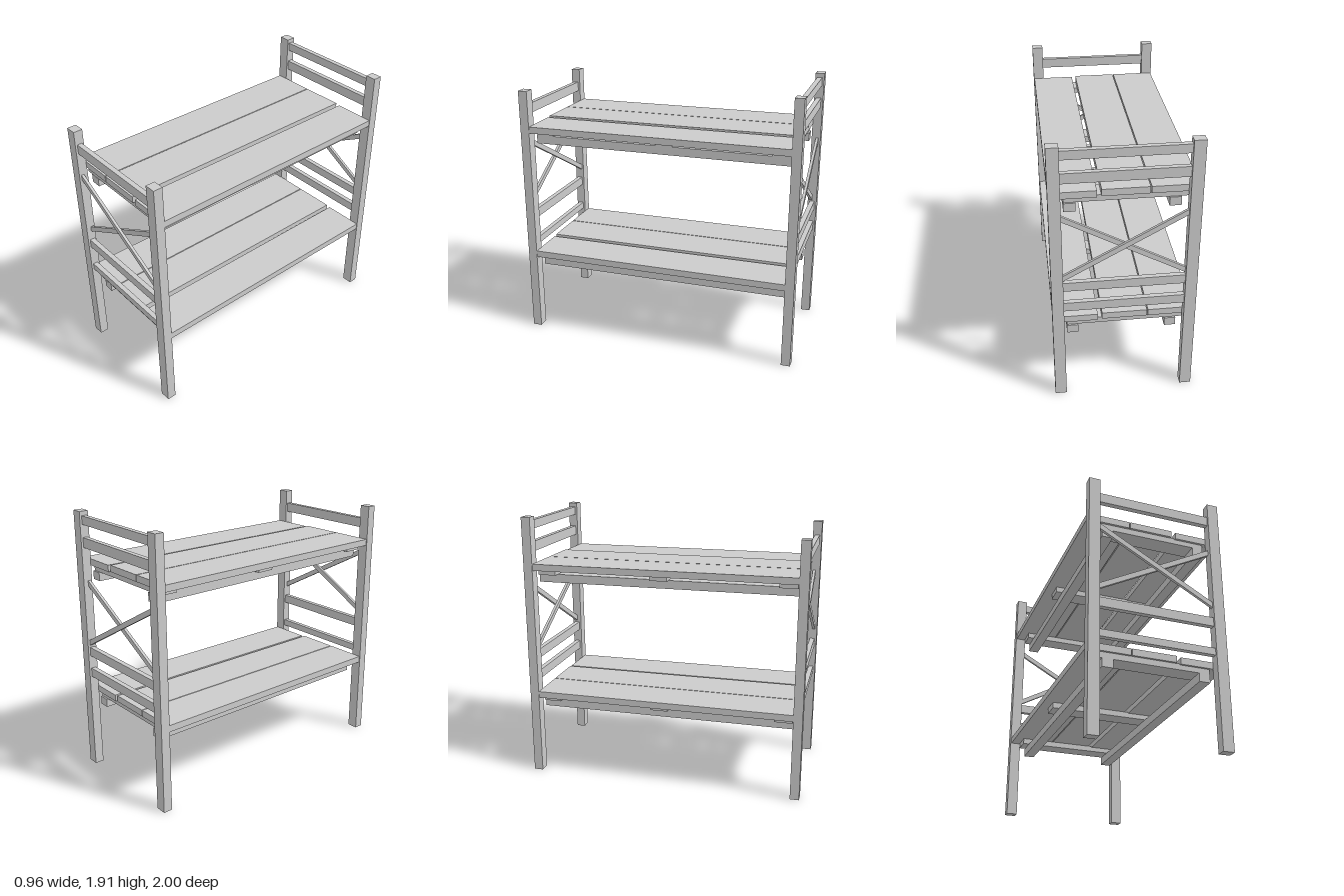
import * as THREE from 'three';

export function createModel() {
  const model = new THREE.Group();
  const wood = new THREE.MeshStandardMaterial({ color: 0xcccccc, flatShading: true });

  // Box given by its extents along each axis
  function beam(parent, name, [x0, x1], [y0, y1], [z0, z1]) {
    const mesh = new THREE.Mesh(new THREE.BoxGeometry(x1 - x0, y1 - y0, z1 - z0), wood);
    mesh.position.set((x0 + x1) / 2, (y0 + y1) / 2, (z0 + z1) / 2);
    mesh.name = name;
    parent.add(mesh);
  }

  // Slanted bar between two points of an end frame
  function brace(parent, x0, y0, x1, y1, z) {
    const length = Math.hypot(x1 - x0, y1 - y0);
    const mesh = new THREE.Mesh(new THREE.BoxGeometry(length, 0.035, 0.02), wood);
    mesh.position.set((x0 + x1) / 2, (y0 + y1) / 2, z);
    mesh.rotation.z = Math.atan2(y1 - y0, x1 - x0);
    mesh.name = 'crossBrace';
    parent.add(mesh);
  }

  // End frames: two posts, horizontal rails and a crossed pair of braces
  const ends = [
    { name: 'frontFrame', side: 1, height: 1.83, drop: 0,
      rails: [[1.66, 1.73], [0.865, 0.93], [0.655, 0.705]] },
    { name: 'backFrame', side: -1, height: 1.91, drop: 0.06,
      rails: [[1.82, 1.88], [1.66, 1.73], [0.865, 0.93], [0.705, 0.77]] },
  ];
  for (const { name, side, height, drop, rails } of ends) {
    const frame = new THREE.Group();
    frame.name = name;
    const span = (a, b) => (side > 0 ? [a, b] : [-b, -a]);
    beam(frame, 'leftPost', [0.4, 0.478], [0, height], span(0.935, 1));
    beam(frame, 'rightPost', [-0.478, -0.4], [0, height], span(0.935, 1));
    for (const rail of rails) beam(frame, 'endRail', [-0.41, 0.41], rail, span(0.95, 0.985));
    brace(frame, -0.41, 1.475 - drop, 0.41, 1.02 - drop, side * 0.975);
    brace(frame, -0.41, 1.015 - drop, 0.41, 1.45 - drop * 0.7, side * 0.957);
    model.add(frame);
  }

  // Bunks: long rails, cross slats, then three wide planks
  for (const [name, y] of [['lowerBunk', 0.48], ['upperBunk', 1.433]]) {
    const bunk = new THREE.Group();
    bunk.name = name;
    for (const x of [-0.322, 0.342]) {
      beam(bunk, 'longRail', [x - 0.038, x + 0.038], [y, y + 0.06], [-0.932, 0.925]);
    }
    for (const z of [-0.857, -0.037, 0.86]) {
      beam(bunk, 'crossSlat', [-0.405, 0.38], [y + 0.06, y + 0.102], [z - 0.063, z + 0.063]);
    }
    const planks = [[-0.472, -0.168, 0.148], [-0.161, 0.143, 0.148], [0.172, 0.474, 0.142]];
    for (const [x0, x1, top] of planks) {
      beam(bunk, 'plank', [x0, x1], [y + top - 0.047, y + top], [-0.938, 0.938]);
    }
    model.add(bunk);
  }

  return model;
}
